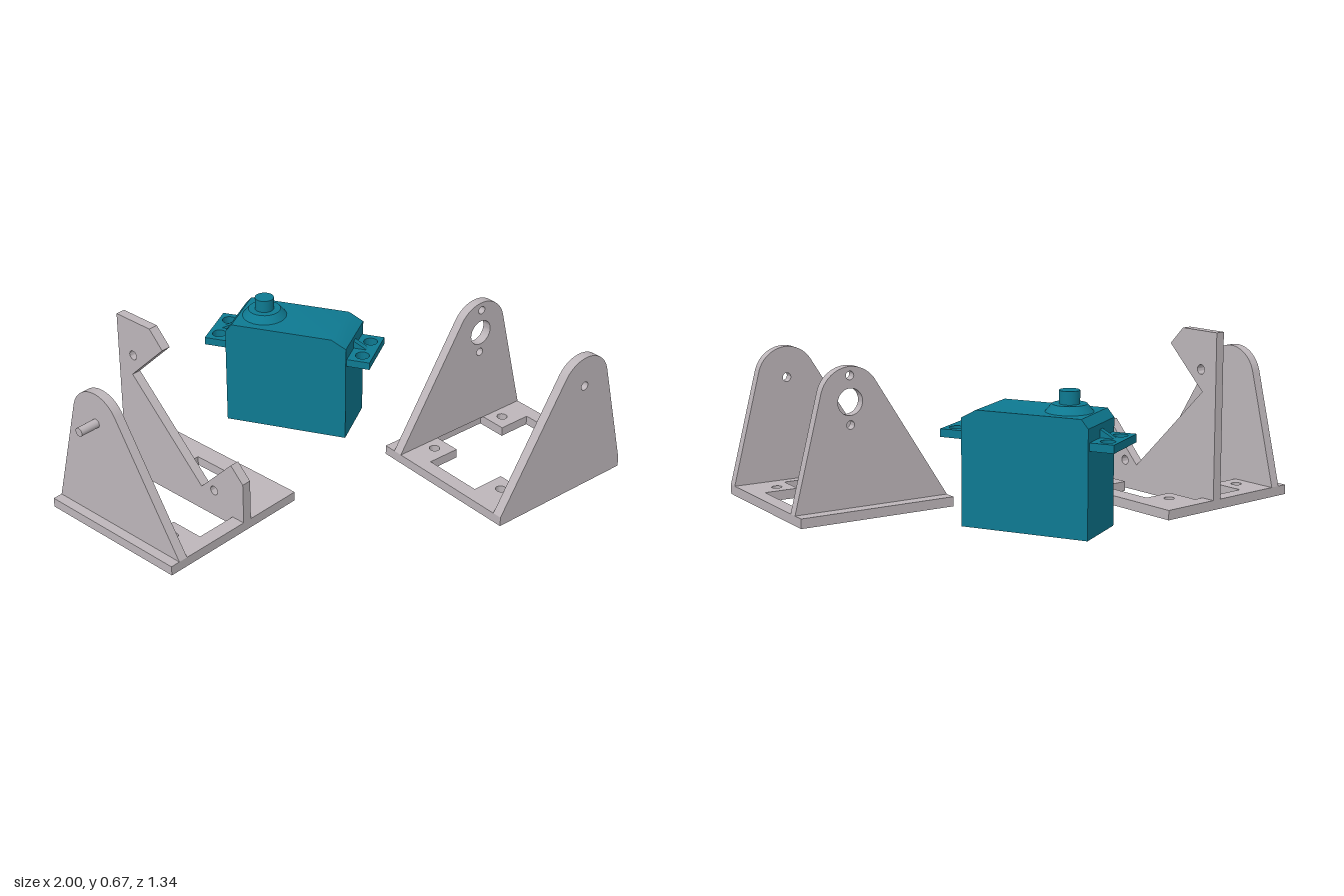
import * as THREE from 'three';
import { toCreasedNormals } from 'three/addons/utils/BufferGeometryUtils.js';

const HALF = 0.313, BASE = 0.037, T = 0.037; // bracket half size, base and plate thickness
const PIVOT_X = 0.084, PIVOT_Y = 0.44;

export function createModel() {
  const grey = new THREE.MeshStandardMaterial({ color: 0xbdb6ba });
  grey.name = 'grey plastic';
  const teal = new THREE.MeshStandardMaterial({ color: 0x0e7a92 });
  teal.name = 'teal casing';

  const add = (parent, name, geo, mat, x = 0, y = 0, z = 0) => {
    const m = new THREE.Mesh(geo, mat);
    m.name = name;
    m.position.set(x, y, z);
    parent.add(m);
    return m;
  };
  const polygon = (pts) => new THREE.Shape(pts.map(([x, y]) => new THREE.Vector2(x, y)));
  const drill = (shape, x, y, r) => {
    const p = new THREE.Path();
    p.absarc(x, y, r, 0, Math.PI * 2, true);
    shape.holes.push(p);
  };
  const extrude = (shape, depth) => toCreasedNormals(
    new THREE.ExtrudeGeometry(shape, { depth, bevelEnabled: false, curveSegments: 16 }), 0.6);
  const rect = (w, d) => polygon([[-w, -d], [w, -d], [w, d], [-w, d]]);

  // Square base with a cross-shaped opening and a screw hole in each corner tab
  const baseGeometry = () => {
    const s = rect(HALF, HALF);
    const a = 0.257, b = 0.12, c = 0.122, d = 0.24;
    s.holes.push(polygon([[-a, -b], [-c, -b], [-c, -d], [c, -d], [c, -b], [a, -b],
      [a, b], [c, b], [c, d], [-c, d], [-c, b], [-a, b]]));
    for (const i of [-1, 1]) for (const j of [-1, 1]) drill(s, i * 0.181, j * 0.181, 0.02);
    return extrude(s, BASE).rotateX(-Math.PI / 2);
  };

  // Leaning plate: straight sides tangent to a rounded top
  const plateGeometry = (holes) => {
    const R = 0.12, dy = BASE - PIVOT_Y;
    const tangent = (px, side) => {
      const dx = px - PIVOT_X;
      return Math.atan2(dy, dx) + side * Math.acos(R / Math.hypot(dx, dy));
    };
    const s = new THREE.Shape();
    s.moveTo(-HALF, BASE);
    s.lineTo(HALF, BASE);
    s.absarc(PIVOT_X, PIVOT_Y, R, tangent(HALF, 1), tangent(-HALF, -1) + Math.PI * 2, false);
    s.closePath();
    for (const [y, r] of holes) drill(s, PIVOT_X, y, r);
    return extrude(s, T);
  };

  const model = new THREE.Group();
  model.name = 'servoBracketKit';
  const section = (name, x, z, degrees) => {
    const g = new THREE.Group();
    g.name = name;
    g.position.set(x, 0, z);
    g.rotation.y = THREE.MathUtils.degToRad(degrees);
    model.add(g);
    return g;
  };

  // Outer bracket with two upright plates
  const outer = section('outerBracket', 0.628, 0.293, 12);
  add(outer, 'outerBase', baseGeometry(), grey);
  add(outer, 'frontPlate', plateGeometry([[PIVOT_Y, 0.017]]), grey, 0, 0, HALF - T);
  add(outer, 'backPlate', plateGeometry([[0.43, 0.05], [0.527, 0.016], [0.345, 0.016]]), grey, 0, 0, -0.264);

  // Servo holder with pivot plate and notched mounting plate
  const holder = section('servoHolder', -0.599, -0.015, 110);
  add(holder, 'holderBase', baseGeometry(), grey);
  add(holder, 'pivotPlate', plateGeometry([]), grey, 0, 0, -0.275);
  add(holder, 'pivotPin', new THREE.CylinderGeometry(0.017, 0.017, 0.1, 24).rotateX(Math.PI / 2),
    grey, PIVOT_X, PIVOT_Y, -0.305);
  const notch = polygon([[-HALF, BASE], [HALF, BASE], [HALF, 0.665], [0.14, 0.665], [0.077, 0.6],
    [0.245, 0.437], [-0.1, 0.1], [-0.255, 0.258], [-HALF, 0.2]]);
  drill(notch, -0.165, 0.11, 0.018);
  drill(notch, 0.236, 0.52, 0.018);
  add(holder, 'notchedPlate', extrude(notch, T), grey, 0, 0, 0.045);
  add(holder, 'baseBridge', new THREE.BoxGeometry(0.514, BASE, T), grey, 0, BASE / 2, 0.045 + T / 2);

  // Servo motor: chamfered case, output boss, shaft and mounting ears
  const servo = section('servo', 0.076, -0.362, -45);
  const body = polygon([[-0.243, 0.01], [0.243, 0.01], [0.243, 0.405], [0.185, 0.437],
    [-0.217, 0.437], [-0.243, 0.405]]);
  add(servo, 'servoCase', extrude(body, 0.236), teal, 0, 0, -0.118);
  add(servo, 'outputBoss', toCreasedNormals(new THREE.CylinderGeometry(0.063, 0.088, 0.03, 32), 0.6),
    teal, -0.122, 0.45, 0);
  add(servo, 'outputShaft', new THREE.CylinderGeometry(0.037, 0.037, 0.05, 32), teal, -0.122, 0.488, 0);
  for (const side of [-1, 1]) {
    const ear = polygon([[0.243, -0.105], [0.333, -0.105], [0.333, 0.105], [0.243, 0.105]]);
    for (const j of [-1, 1]) drill(ear, 0.291, j * 0.057, 0.027);
    const holderEar = new THREE.Group();
    holderEar.name = side > 0 ? 'frontEar' : 'backEar';
    holderEar.rotation.y = side > 0 ? 0 : Math.PI;
    servo.add(holderEar);
    add(holderEar, 'earPlate', extrude(ear, 0.03).rotateX(-Math.PI / 2), teal, 0, 0.325, 0);
    // Small gusset between the screw holes
    const rib = polygon([[0.243, 0.355], [0.295, 0.355], [0.243, 0.385]]);
    add(holderEar, 'earRib', extrude(rib, 0.024), teal, 0, 0, -0.012);
  }
  return model;
}
